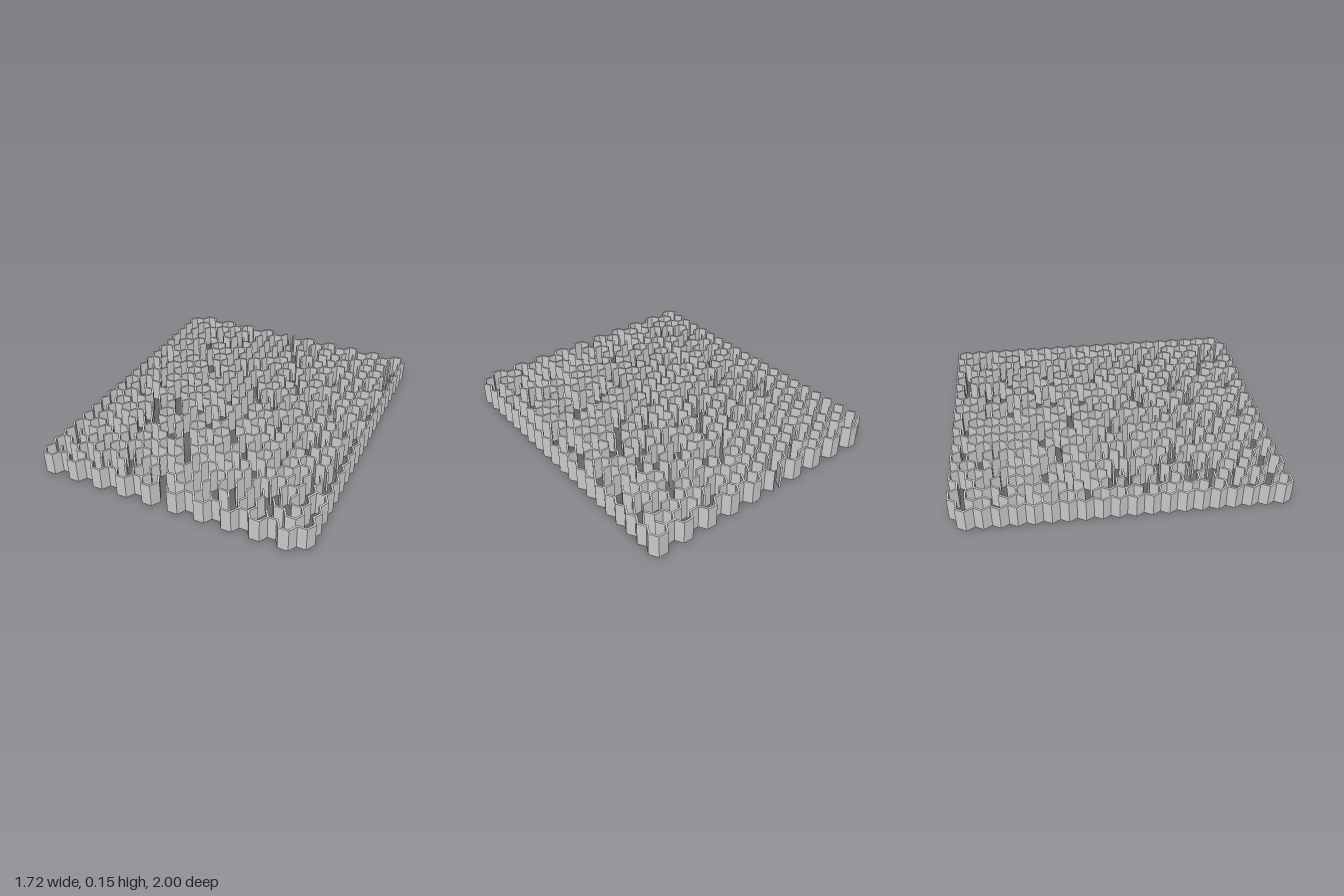
import * as THREE from 'three';
import { mergeGeometries } from 'three/addons/utils/BufferGeometryUtils.js';

const N = 20;                    // cells each way
const T = 0.012;                 // wall thickness
const H = 0.147;                 // wall height
const PITCH = (2 - T) / (N + 0.5);
const SIDE = PITCH / Math.sqrt(3);

// Cross walls that branch off the left and right borders, by row
const STUBS = { 0: [5, 7, 10, 12, 16, 18], 19: [5, 9, 17] };
// Long zigzag walls: x, from z, to z
const RIBS = [
  [-0.76, -0.9, -0.8], [-0.76, -0.72, -0.6], [-0.76, 0.22, 0.45], [-0.5, 0.49, 0.7],
  [-0.5, -0.35, -0.13], [-0.42, 0.42, 0.77], [-0.17, -0.95, -0.72], [-0.17, -0.66, -0.5],
  [-0.17, 0.13, 0.4], [0, -0.8, -0.6], [0, -0.56, -0.4], [0, 0.05, 0.34], [0, 0.45, 0.7],
  [0.08, -0.9, -0.82], [0.08, 0.69, 0.9], [0.17, 0.03, 0.19], [0.17, 0.29, 0.56],
  [0.17, 0.66, 0.82], [0.34, -0.4, -0.03], [0.34, 0.32, 0.45], [0.76, 0.64, 0.8],
];

function seeded(seed) {
  return () => {
    seed = (seed * 1664525 + 1013904223) % 4294967296;
    return seed / 4294967296;
  };
}

// All cell sides of the honeycomb, each listed once
function honeycombEdges() {
  const edges = new Map();
  for (let c = 0; c < N; c++) for (let r = 0; r < N; r++) {
    const x = (c - (N - 1) / 2) * 1.5 * SIDE;
    const z = (r - 9.75 + (c % 2 ? 0 : 0.5)) * PITCH;
    const corner = (k) => [x + SIDE * Math.cos(k * Math.PI / 3), z + SIDE * Math.sin(k * Math.PI / 3)];
    for (let k = 0; k < 6; k++) {
      const a = corner(k), b = corner(k + 1);
      const mx = (a[0] + b[0]) / 2, mz = (a[1] + b[1]) / 2;
      const key = Math.round(mx * 1000 / 2) + ',' + Math.round(mz * 1000 / 2);
      const found = edges.get(key);
      if (found) { found.border = false; continue; }
      edges.set(key, {
        a, b, mx, mz, border: true,
        cross: k === 1 || k === 4,
        stub: (k === 4 && STUBS[c]?.includes(r)) || (k === 1 && STUBS[c]?.includes(r + 1)),
        gate: c === 9 && ((r === 0 && k === 4) || (r === N - 1 && k === 1)),
      });
    }
  }
  return [...edges.values()];
}

// Grow walls inward from the border without ever closing a loop
function growWalls(edges) {
  const random = seeded(7);
  const parent = new Map();
  const id = (p) => Math.round(p[0] * 200) + ',' + Math.round(p[1] * 200);
  const root = (k) => {
    while (parent.has(k)) k = parent.get(k);
    return k;
  };
  const join = (e) => {
    const a = root(id(e.a)), b = root(id(e.b));
    if (a === b) return false;
    parent.set(a, b);
    return true;
  };
  edges.filter((e) => e.border).forEach(join);

  const inner = edges.filter((e) => !e.border);
  for (const e of inner) {
    const rib = !e.cross && RIBS.some(([x, z0, z1]) => Math.abs(e.mx - x) < 0.04 && e.mz > z0 && e.mz < z1);
    const nearSide = e.cross && Math.abs(e.mx) > 0.78;
    e.order = e.stub || rib ? 0 : random() + (nearSide ? 1 : 0.1);
  }
  inner.sort((p, q) => p.order - q.order);
  return inner.filter(join);
}

// One upright slab, lengthened so the outer corners meet as a mitre
function slab({ a, b, mx, mz }) {
  const g = new THREE.BoxGeometry(SIDE + T / Math.sqrt(3), H, T);
  g.rotateY(-Math.atan2(b[1] - a[1], b[0] - a[0]));
  return g.translate(mx, H / 2, mz);
}

export function createModel() {
  const group = new THREE.Group();
  group.name = 'hexagonalMaze';
  const material = new THREE.MeshStandardMaterial({ color: 0xcccccc, flatShading: true });
  const add = (name, edges) => {
    const mesh = new THREE.Mesh(mergeGeometries(edges.map(slab)), material);
    mesh.name = name;
    group.add(mesh);
  };

  const edges = honeycombEdges();
  add('borderWall', edges.filter((e) => e.border && !e.gate)); // open at entrance and exit
  add('innerWalls', growWalls(edges));
  return group;
}
